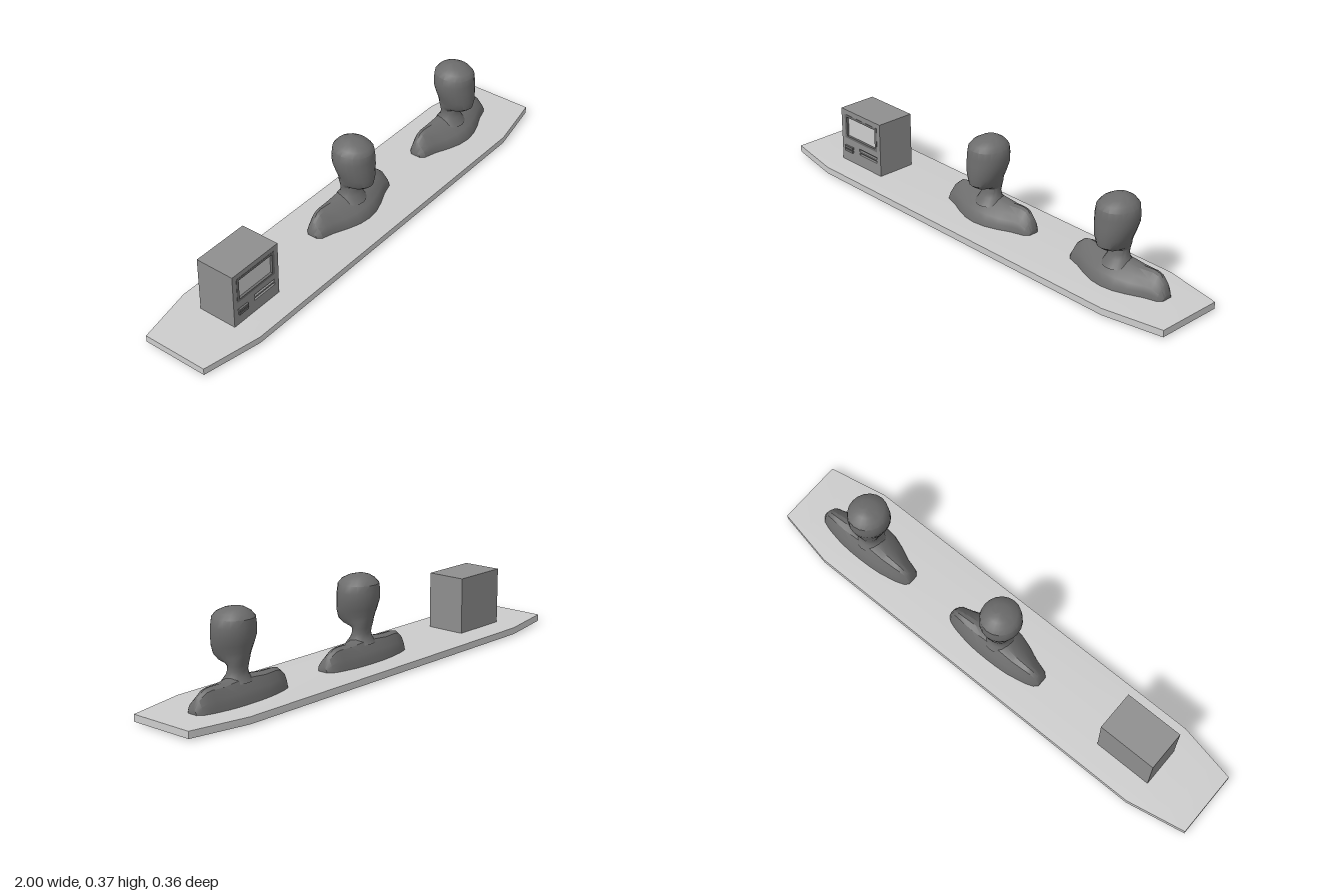
import * as THREE from 'three';
import { toCreasedNormals } from 'three/addons/utils/BufferGeometryUtils.js';

const material = (color) => new THREE.MeshStandardMaterial({ color });
const light = material(0xcccccc);
const casing = material(0x8e8e8e);
const dark = material(0x6c6c6c);

function add(parent, name, geometry, mat, x = 0, y = 0, z = 0) {
  const mesh = new THREE.Mesh(geometry, mat);
  mesh.name = name;
  mesh.position.set(x, y, z);
  parent.add(mesh);
  return mesh;
}

// Skin a list of closed rings (each counter-clockwise about the loft direction) and cap both ends
function loft(rings, crease) {
  const n = rings[0].length, last = (rings.length - 1) * n;
  const positions = rings.flat(2), index = [];
  for (let i = 0; i < rings.length - 1; i++) {
    for (let j = 0; j < n; j++) {
      const a = i * n + j, b = i * n + (j + 1) % n;
      index.push(a, b, b + n, a, b + n, a + n);
    }
  }
  for (let j = 1; j < n - 1; j++) {
    index.push(0, j + 1, j, last, last + j, last + j + 1);
  }
  const g = new THREE.BufferGeometry();
  g.setAttribute('position', new THREE.Float32BufferAttribute(positions, 3));
  g.setIndex(index);
  return toCreasedNormals(g, crease);
}

// Eight-sided slab, its top and bottom faces slightly crowned
function slabGeometry() {
  const outline = [[-0.76, 0.182], [0.76, 0.182], [1, 0.135], [1, -0.135],
    [0.76, -0.182], [-0.76, -0.182], [-1, -0.135], [-1, 0.135]];
  const layers = [[0, 0.9, 0.74], [0.006, 1, 1], [0.033, 1, 1], [0.036, 0.9, 0.74]];
  return loft(layers.map(([y, sx, sz]) => outline.map(([x, z]) => [x * sx, y, z * sz])), 0.3);
}

// Head and neck from tilted oval rings: front y, back y, front z, back z, half width
function headGeometry() {
  const rows = [
    [0.095, 0.105, 0.045, -0.07, 0.06], [0.125, 0.125, 0.022, -0.054, 0.046],
    [0.142, 0.145, 0.016, -0.051, 0.04], [0.16, 0.165, 0.014, -0.055, 0.041],
    [0.166, 0.187, 0.026, -0.061, 0.046], [0.173, 0.2, 0.06, -0.065, 0.051],
    [0.19, 0.217, 0.083, -0.07, 0.058], [0.222, 0.242, 0.088, -0.077, 0.069],
    [0.27, 0.275, 0.083, -0.085, 0.08], [0.3, 0.305, 0.08, -0.085, 0.081],
    [0.33, 0.335, 0.077, -0.083, 0.076], [0.347, 0.353, 0.064, -0.068, 0.061],
    [0.361, 0.366, 0.036, -0.047, 0.038], [0.371, 0.372, 0.0, -0.025, 0.012]];
  const sides = 20;
  return loft(rows.map(([yF, yB, zF, zB, w]) => Array.from({ length: sides }, (_, j) => {
    const t = j / sides * Math.PI * 2, f = (1 + Math.cos(t)) / 2;
    return [w * Math.sin(t), yB + (yF - yB) * f, zB + (zF - zB) * f];
  })), 0.6);
}

// Shoulders from arched slices across x: x, front z, back z, top y
function shouldersGeometry() {
  const half = [[0.223, -0.002, -0.045, 0.055], [0.208, 0.014, -0.06, 0.09],
    [0.18, 0.022, -0.07, 0.115], [0.155, 0.03, -0.076, 0.12],
    [0.1, 0.055, -0.086, 0.118], [0.05, 0.072, -0.09, 0.123]];
  const slices = [...half, [0, 0.078, -0.091, 0.126],
    ...half.map(([x, ...r]) => [-x, ...r]).reverse()];
  const arch = [[0, 0], [0.03, 0.25], [0.12, 0.48], [0.3, 0.72], [0.48, 0.95],
    [0.62, 1], [0.78, 0.9], [0.92, 0.5], [0.97, 0.25], [1, 0]];
  return loft(slices.map(([x, zF, zB, top]) => arch.map(([u, v]) =>
    [x, 0.034 + (top - 0.034) * v, zF + (zB - zF) * u])), 0.55);
}

function rect(path, x0, x1, y0, y1) {
  path.moveTo(x0, y0);
  path.lineTo(x1, y0);
  path.lineTo(x1, y1);
  path.lineTo(x0, y1);
  path.closePath();
  return path;
}

function createTerminal() {
  const g = new THREE.Group();
  g.name = 'computerTerminal';
  add(g, 'cabinet', new THREE.BoxGeometry(0.24, 0.226, 0.147), casing, 0, 0.148, -0.0065);

  // Front panel with openings for the screen and the drive slots
  const face = rect(new THREE.Shape(), -0.12, 0.12, 0.035, 0.261);
  face.holes.push(rect(new THREE.Path(), -0.098, 0.098, 0.138, 0.238));
  for (const y of [0.086, 0.102]) {
    face.holes.push(rect(new THREE.Path(), -0.012, 0.098, y, y + 0.01));
  }
  add(g, 'frontPanel', new THREE.ExtrudeGeometry(face, { depth: 0.015, bevelEnabled: false }),
    casing, 0, 0, 0.067);

  // Raised surround and recessed screen
  const rim = rect(new THREE.Shape(), -0.1, 0.1, 0.136, 0.24);
  rim.holes.push(rect(new THREE.Path(), -0.088, 0.088, 0.146, 0.23));
  add(g, 'screenSurround', new THREE.ExtrudeGeometry(rim, { depth: 0.014, bevelEnabled: false }),
    dark, 0, 0, 0.069);
  add(g, 'screen', new THREE.BoxGeometry(0.18, 0.088, 0.004), light, 0, 0.188, 0.071);

  // Slot linings and protruding buttons
  for (const y of [0.091, 0.107]) {
    add(g, 'driveSlot', new THREE.BoxGeometry(0.11, 0.01, 0.004), dark, 0.043, y, 0.07);
  }
  for (const y of [0.086, 0.1]) {
    add(g, 'button', new THREE.BoxGeometry(0.048, 0.01, 0.009), dark, -0.074, y, 0.0855);
  }
  g.position.x = -0.66;
  return g;
}

export function createModel() {
  const model = new THREE.Group();
  model.name = 'deskWithBusts';
  add(model, 'slab', slabGeometry(), light);
  model.add(createTerminal());

  const head = headGeometry(), shoulders = shouldersGeometry();
  for (const x of [0, 0.655]) {
    const bust = new THREE.Group();
    bust.name = 'bust';
    add(bust, 'headAndNeck', head, dark);
    add(bust, 'shoulders', shoulders, dark);
    bust.position.x = x;
    model.add(bust);
  }
  return model;
}
